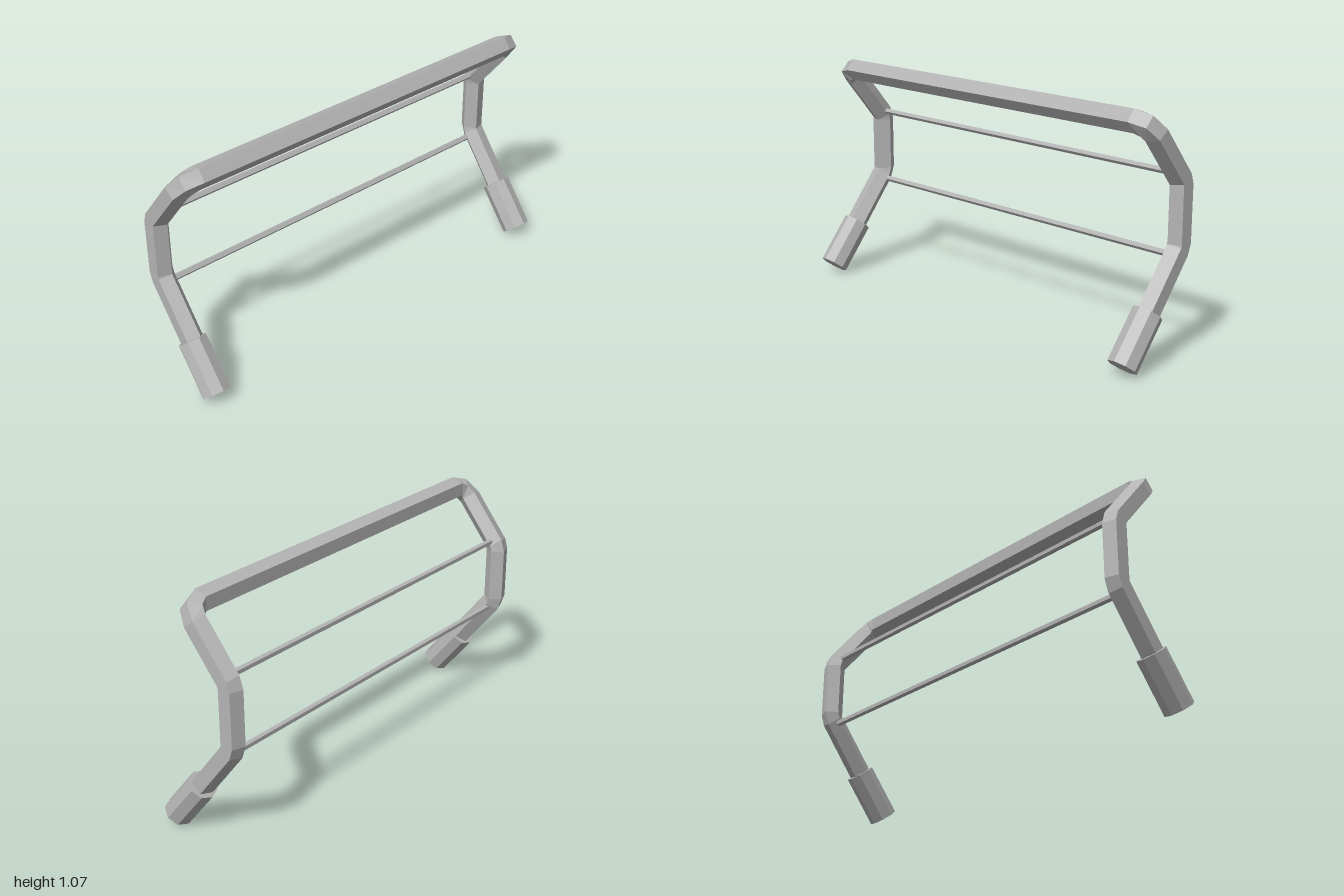
import * as THREE from 'three';

export function createModel() {
  const model = new THREE.Group();
  const steel = new THREE.MeshStandardMaterial({ color: 0xb4b4b4, flatShading: true });
  steel.name = 'grey steel';
  const LEG_X = 0.933;

  function add(geometry, name) {
    const mesh = new THREE.Mesh(geometry, steel);
    mesh.name = name;
    model.add(mesh);
    return mesh;
  }

  // Bent five-sided tube: each ring has a centre, the direction its flat side faces, and a side direction
  const v = (x, y, z) => new THREE.Vector3(x, y, z);
  const ring = (c, o, s) => ({ c: v(...c), o: v(...o).normalize(), s: v(...s).normalize() });
  const out = [1, 0, 0];
  const half = [
    ring([LEG_X, 0.22, 0.03], out, [0, -0.62, -0.78]),
    ring([LEG_X, 0.465, -0.16], out, [0, -0.62, -0.78]),
    ring([LEG_X, 0.495, -0.17], out, [0, 0, -1]),
    ring([LEG_X, 0.744, -0.17], out, [0, 0, -1]),
    ring([LEG_X, 0.77, -0.163], out, [0, 0.63, -0.777]),
    ring([LEG_X, 0.975, 0.003], out, [0, 0.63, -0.777]),
    ring([0.915, 1.01, 0.034], [1, 0.68, 0.74], [0, 0.74, -0.68]),
    ring([0.87, 1.025, 0.048], [0, 0.59, 0.81], [0, 0.81, -0.59]),
  ];
  const flip = (p) => v(-p.x, p.y, p.z);
  const mirrored = half.map(({ c, o, s }) => ({ c: flip(c), o: flip(o), s: s.clone() })).reverse();

  const SIDES = 5, RADIUS = 0.052;
  const rings = [...half, ...mirrored].map(({ c, o, s }) =>
    Array.from({ length: SIDES }, (_, k) => {
      const a = ((k + 0.5) / SIDES) * Math.PI * 2;
      return c.clone().addScaledVector(o, RADIUS * Math.cos(a)).addScaledVector(s, RADIUS * Math.sin(a));
    }));
  const points = [];
  for (let i = 0; i < rings.length - 1; i++) {
    for (let k = 0; k < SIDES; k++) {
      const n = (k + 1) % SIDES;
      const a = rings[i][k], b = rings[i][n], c = rings[i + 1][n], d = rings[i + 1][k];
      points.push(a, b, c, a, c, d);
    }
  }
  const frame = new THREE.BufferGeometry().setFromPoints(points);
  frame.computeVertexNormals();
  add(frame, 'bentFrame');

  // Octagonal sleeves at the ends of the legs
  const top = v(0, 0.2375, 0.0155), bottom = v(0, 0.0455, 0.168);
  const axis = top.clone().sub(bottom);
  for (const side of [1, -1]) {
    const foot = add(new THREE.CylinderGeometry(0.066, 0.066, axis.length(), 8),
      side > 0 ? 'leftFoot' : 'rightFoot');
    foot.position.addVectors(top, bottom).multiplyScalar(0.5).setX(side * 0.934);
    foot.quaternion.setFromUnitVectors(v(0, 1, 0), axis.clone().normalize());
  }

  // Thin cross rods between the legs
  for (const [name, y] of [['upperRod', 0.789], ['lowerRod', 0.443]]) {
    const geometry = new THREE.CylinderGeometry(0.0145, 0.0145, 1.81, SIDES);
    geometry.rotateZ(Math.PI / 2);
    add(geometry, name).position.set(0, y, -0.154);
  }

  return model;
}
